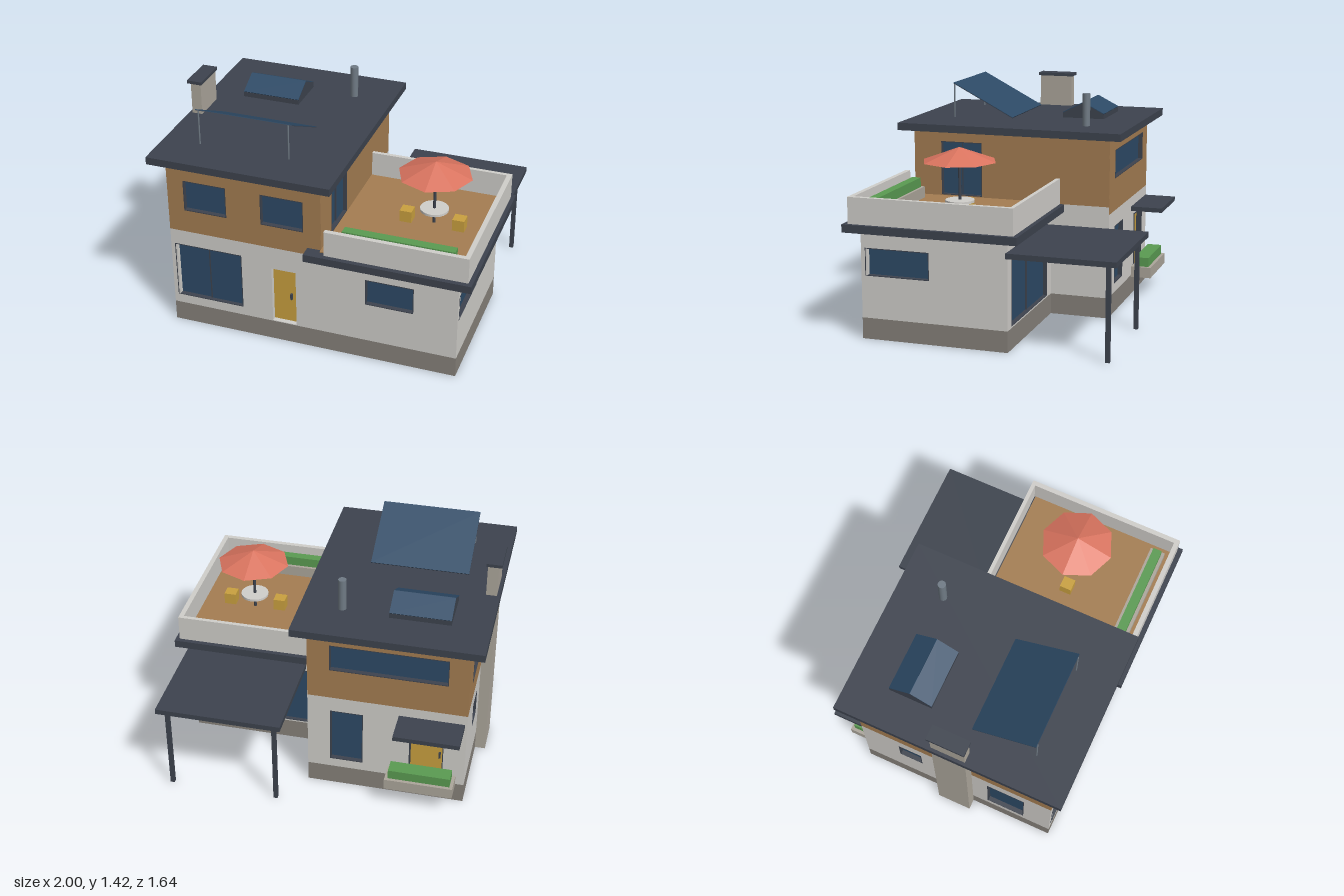
import * as THREE from 'three';

const mat = (name, color) => Object.assign(new THREE.MeshStandardMaterial({ color }), { name });
const M = {
  plaster: mat('plaster white', 0xd0cecA),
  timber: mat('timber brown', 0xa47d52),
  dark: mat('dark slate', 0x3d434e),
  glass: mat('window glass', 0x2d4a66),
  yellow: mat('door yellow', 0xc9a03f),
  base: mat('plinth taupe', 0x86817a),
  stone: mat('stone grey', 0xaca69b),
  green: mat('plant green', 0x5a9b52),
  coral: mat('parasol coral', 0xda745f),
  steel: mat('steel', 0x707b85),
};

function add(parent, name, geometry, material, x = 0, y = 0, z = 0) {
  const mesh = new THREE.Mesh(geometry, material);
  mesh.name = name;
  mesh.position.set(x, y, z);
  parent.add(mesh);
  return mesh;
}

// Box given by its limits on each axis
function box(parent, name, material, x0, x1, y0, y1, z0, z1) {
  return add(parent, name, new THREE.BoxGeometry(x1 - x0, y1 - y0, z1 - z0), material,
    (x0 + x1) / 2, (y0 + y1) / 2, (z0 + z1) / 2);
}

function rect(Type, x0, x1, y0, y1) {
  const p = new Type();
  p.moveTo(x0, y0);
  p.lineTo(x1, y0);
  p.lineTo(x1, y1);
  p.lineTo(x0, y1);
  p.closePath();
  return p;
}

// Thin sloping plate between two (z, y) points
function slope(parent, name, material, x0, x1, za, ya, zb, yb, t = 0.005) {
  const geo = new THREE.BoxGeometry(x1 - x0, t, Math.hypot(zb - za, yb - ya));
  const m = add(parent, name, geo, material, (x0 + x1) / 2, (ya + yb) / 2, (za + zb) / 2);
  m.rotation.x = -Math.atan2(yb - ya, zb - za);
  return m;
}

const T = 0.04; // wall thickness

// Wall panel pierced by its openings, outer face at local z = 0
function wall(parent, name, material, u0, u1, y0, y1, openings = []) {
  const s = rect(THREE.Shape, u0, u1, y0, y1);
  for (const o of openings) s.holes.push(rect(THREE.Path, o.u[0], o.u[1], o.y[0], o.y[1]));
  add(parent, name, new THREE.ExtrudeGeometry(s, { depth: T, bevelEnabled: false }), material, 0, 0, -T);
  for (const o of openings) (o.door ? door : windowUnit)(parent, o);
}

// Dark lining around an opening
function lining(parent, u, y, front) {
  const e = 0.005;
  const s = rect(THREE.Shape, u[0], u[1], y[0], y[1]);
  s.holes.push(rect(THREE.Path, u[0] + e, u[1] - e, y[0] + e, y[1] - e));
  const geo = new THREE.ExtrudeGeometry(s, { depth: T + front, bevelEnabled: false });
  add(parent, 'openingFrame', geo, M.dark, 0, 0, -T);
}

function windowUnit(parent, { u, y, sliding }) {
  lining(parent, u, y, 0.001);
  if (!sliding) {
    box(parent, 'windowGlass', M.glass, u[0], u[1], y[0], y[1], -0.036, -0.028);
    return;
  }
  const mid = (u[0] + u[1]) / 2;
  box(parent, 'slidingPane', M.glass, u[0], mid, y[0], y[1], -0.036, -0.028);
  box(parent, 'slidingPane', M.glass, mid, u[1], y[0], y[1], -0.03, -0.022);
  box(parent, 'slidingMullion', M.dark, mid - 0.004, mid + 0.004, y[0], y[1], -0.034, -0.019);
}

function door(parent, { u, y, framed, handle }) {
  if (framed) lining(parent, u, y, 0.006);
  box(parent, 'doorLeaf', M.yellow, u[0], u[1], y[0], y[1], -0.039, -0.031);
  box(parent, 'doorHandle', M.dark, handle - 0.006, handle + 0.006, 0.3, 0.34, -0.031, -0.015);
}

// Facade frame: local x runs along the wall, local z points outward
function facade(house, name, x, z, turn) {
  const g = new THREE.Group();
  g.name = name;
  g.position.set(x, 0, z);
  g.rotation.y = turn * Math.PI / 2;
  house.add(g);
  return g;
}

function planter(parent, x0, x1, y, z0, z1, h) {
  box(parent, 'planterBox', M.stone, x0, x1, y, y + h, z0, z1);
  box(parent, 'planterHedge', M.green, x0 + 0.02, x1 - 0.02, y + h - 0.01, y + h + 0.06, z0 + 0.02, z1 - 0.02);
}

export function createModel() {
  const house = new THREE.Group();
  house.name = 'house';
  const low = [0.39, 0.565], tall = [0.19, 0.565], up = [0.815, 1.02];

  // Front walls
  const front = facade(house, 'frontFacade', 0, 0.74, 0);
  wall(front, 'frontPlinth', M.base, -0.915, 0.91, 0, 0.13);
  wall(front, 'frontLowerWall', M.plaster, -0.915, 0.91, 0.13, 0.665, [
    { u: [-0.89, -0.45], y: tall, sliding: true },
    { u: [-0.255, -0.1], y: [0.135, 0.515], door: true, handle: -0.138 },
    { u: [0.34, 0.64], y: low },
  ]);
  wall(front, 'frontUpperWall', M.timber, -0.915, 0.065, 0.665, 1.14, [
    { u: [-0.81, -0.535], y: up }, { u: [-0.315, -0.045], y: up },
  ]);

  // Main block, back walls
  const back = facade(house, 'backFacade', 0, -0.55, 2);
  wall(back, 'backPlinth', M.base, -0.065, 0.915, 0, 0.13);
  wall(back, 'backLowerWall', M.plaster, -0.065, 0.915, 0.13, 0.665, [
    { u: [0.075, 0.28], y: tall },
    { u: [0.57, 0.78], y: [0.135, 0.54], door: true, framed: true, handle: 0.755 },
  ]);
  wall(back, 'backUpperWall', M.timber, -0.065, 0.915, 0.665, 1.14, [{ u: [0.07, 0.79], y: [0.87, 1.05] }]);

  // Main block, outer side walls
  const left = facade(house, 'chimneySideFacade', -0.915, 0, -1);
  wall(left, 'sidePlinth', M.base, -0.55, 0.74, 0, 0.13);
  wall(left, 'sideLowerWall', M.plaster, -0.55, 0.74, 0.13, 0.665, [
    { u: [-0.3, -0.145], y: low }, { u: [0.31, 0.56], y: tall },
  ]);
  wall(left, 'sideUpperWall', M.timber, -0.55, 0.74, 0.665, 1.14, [
    { u: [-0.41, -0.05], y: up }, { u: [0.31, 0.6], y: up },
  ]);

  // Main block, wall shared with the wing and terrace
  const inner = facade(house, 'terraceFacade', 0.066, 0, 1);
  wall(inner, 'innerPlinth', M.base, -0.739, 0.549, 0, 0.13);
  wall(inner, 'innerLowerWall', M.plaster, -0.739, 0.549, 0.13, 0.713);
  wall(inner, 'innerUpperWall', M.timber, -0.739, 0.549, 0.713, 1.14, [
    { u: [-0.557, -0.284], y: [0.725, 1.07], sliding: true },
  ]);

  // Wing walls
  const right = facade(house, 'wingSideFacade', 0.91, 0, 1);
  wall(right, 'wingSidePlinth', M.base, -0.74, 0.175, 0, 0.13);
  wall(right, 'wingSideWall', M.plaster, -0.74, 0.175, 0.13, 0.665, [{ u: [-0.715, -0.31], y: [0.39, 0.56] }]);
  const wingBack = facade(house, 'wingBackFacade', 0, -0.175, 2);
  wall(wingBack, 'wingBackPlinth', M.base, -0.91, -0.065, 0, 0.13);
  wall(wingBack, 'wingBackWall', M.plaster, -0.91, -0.065, 0.13, 0.665, [
    { u: [-0.84, -0.155], y: [0.14, 0.55], sliding: true },
  ]);

  // Main roof, chimney and flue
  box(house, 'mainRoof', M.dark, -1, 0.15, 1.14, 1.187, -0.637, 0.82);
  box(house, 'chimney', M.stone, -0.98, -0.914, 0, 1.39, -0.015, 0.205);
  box(house, 'chimneyCap', M.dark, -1, -0.905, 1.39, 1.41, -0.025, 0.215);
  add(house, 'fluePipe', new THREE.CylinderGeometry(0.025, 0.025, 0.21, 12), M.steel, -0.105, 1.285, -0.35);

  // Ridge skylight
  const profile = new THREE.Shape([[-0.385, 1.18], [-0.11, 1.18], [-0.11, 1.218], [-0.247, 1.288], [-0.385, 1.218]]
    .map(([z, y]) => new THREE.Vector2(z, y)));
  const curb = add(house, 'skylightCurb',
    new THREE.ExtrudeGeometry(profile, { depth: 0.37, bevelEnabled: false }), M.dark, -0.395);
  curb.rotation.y = -Math.PI / 2;
  slope(house, 'skylightGlass', M.glass, -0.765, -0.395, -0.385, 1.22, -0.247, 1.29);
  slope(house, 'skylightGlass', M.glass, -0.765, -0.395, -0.247, 1.29, -0.11, 1.22);

  // Tilted solar panel on two posts
  slope(house, 'solarPanel', M.glass, -0.785, -0.172, 0.16, 1.204, 0.562, 1.414, 0.003);
  slope(house, 'solarPanelBacking', M.dark, -0.785, -0.172, 0.161, 1.201, 0.563, 1.411, 0.003);
  for (const x of [-0.765, -0.195])
    add(house, 'solarPanelPost', new THREE.CylinderGeometry(0.005, 0.005, 0.225, 8), M.steel, x, 1.297, 0.563);

  // Terrace slab, deck and parapet
  box(house, 'terraceSlab', M.dark, -0.02, 1, 0.665, 0.713, -0.26, 0.82);
  box(house, 'terraceDeck', M.timber, 0.066, 0.946, 0.712, 0.72, -0.2, 0.765);
  box(house, 'frontParapet', M.plaster, 0.1, 0.975, 0.713, 0.875, 0.76, 0.79);
  box(house, 'backParapet', M.plaster, 0.066, 0.975, 0.713, 0.875, -0.232, -0.207);
  box(house, 'sideParapet', M.plaster, 0.945, 0.975, 0.713, 0.875, -0.207, 0.76);
  planter(house, 0.165, 0.89, 0.72, 0.633, 0.73, 0.07);

  // Parasol, table and stools
  const px = 0.607, pz = 0.227;
  const canopy = new THREE.ConeGeometry(0.228, 0.085, 8).toNonIndexed();
  canopy.computeVertexNormals();
  add(house, 'parasolCanopy', canopy, M.coral, px, 1.0975, pz);
  add(house, 'parasolPole', new THREE.CylinderGeometry(0.009, 0.009, 0.35, 10), M.dark, px, 0.89, pz);
  add(house, 'tableTop', new THREE.CylinderGeometry(0.088, 0.088, 0.015, 20), M.plaster, px, 0.815, pz);
  for (const side of [-1, 1])
    add(house, 'stool', new THREE.BoxGeometry(0.075, 0.075, 0.075), M.yellow, px + side * 0.165, 0.757, pz + 0.02);

  // Carport
  box(house, 'carportRoof', M.dark, 0.168, 0.945, 0.57, 0.603, -0.825, -0.174);
  for (const x of [0.22, 0.89]) box(house, 'carportPost', M.dark, x - 0.013, x + 0.013, 0, 0.572, -0.781, -0.755);

  // Back entrance canopy and planter
  box(house, 'entranceCanopy', M.dark, -0.9, -0.5, 0.572, 0.601, -0.755, -0.549);
  planter(house, -0.865, -0.445, 0.14, -0.7, -0.568, 0.07);

  return house;
}
